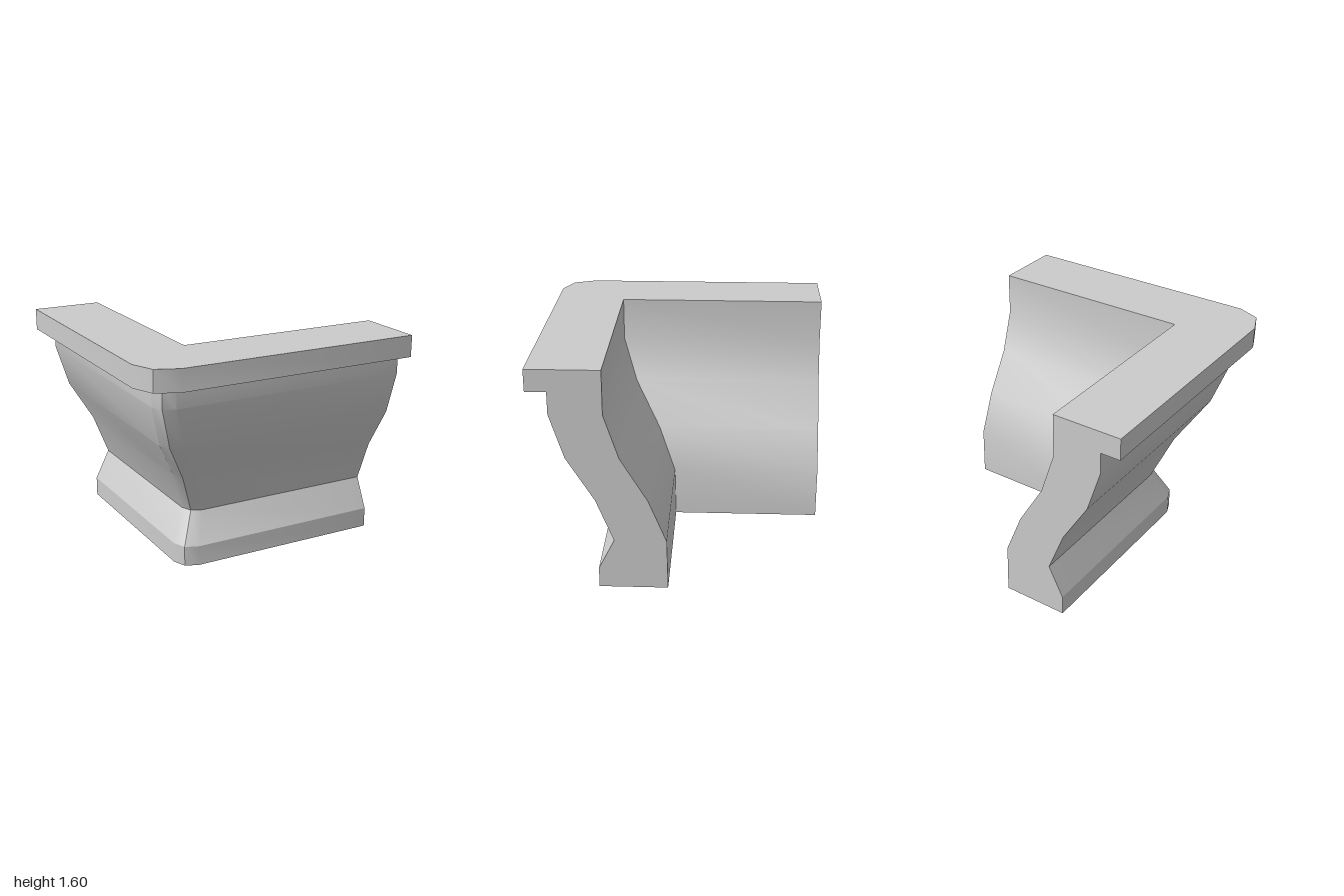
import * as THREE from 'three';
import { toCreasedNormals } from 'three/addons/utils/BufferGeometryUtils.js';

// Moulding section: [distance outward, height, corner rounding radius],
// up the outer face, then down the inner face.
const profile = [
  [0.56, 0, 0.13], [0.56, 0.145, 0.13], [0.45, 0.365, 0.11], [0.57, 0.67, 0.11],
  [0.76, 0.98, 0.12], [0.857, 1.29, 0.12], [0.857, 1.445, 0.12],
  [1, 1.445, 0.23], [1, 1.6, 0.23],
  [0.5, 1.6, 0], [0.5, 1.29, 0], [0.4, 0.98, 0], [0.215, 0.67, 0], [0.092, 0.365, 0], [0.085, 0, 0],
];

// Path of one profile point: along the front arm, round the corner, along the side arm
function sweepPoint([d, y, r]) {
  const k = r * (1 - Math.SQRT1_2);
  return [[1, d], [r - d, d], [k - d, d - k], [-d, d - r], [-d, -1]]
    .map(([x, z]) => new THREE.Vector3(x, y, z));
}

function corniceGeometry() {
  const rows = profile.map(sweepPoint);
  const positions = [];
  const triangle = (a, b, c) => {
    const area = new THREE.Triangle(a, b, c).getArea();
    if (area > 1e-7) positions.push(...a.toArray(), ...b.toArray(), ...c.toArray());
  };

  // Swept faces
  rows.forEach((low, i) => {
    const high = rows[(i + 1) % rows.length];
    for (let s = 0; s < low.length - 1; s++) {
      triangle(low[s], high[s], high[s + 1]);
      triangle(low[s], high[s + 1], low[s + 1]);
    }
  });

  // Cut ends of the two arms
  const outline = profile.map(([d, y]) => new THREE.Vector2(d, y));
  for (const [a, b, c] of THREE.ShapeUtils.triangulateShape(outline, [])) {
    triangle(rows[c][0], rows[b][0], rows[a][0]);
    triangle(rows[a][4], rows[b][4], rows[c][4]);
  }

  const geometry = new THREE.BufferGeometry();
  geometry.setAttribute('position', new THREE.Float32BufferAttribute(positions, 3));
  return toCreasedNormals(geometry, 0.42);
}

export function createModel() {
  const group = new THREE.Group();
  group.name = 'corniceCorner';
  const cornice = new THREE.Mesh(
    corniceGeometry(),
    new THREE.MeshStandardMaterial({ color: 0xcccccc }),
  );
  cornice.name = 'corniceMoulding';
  group.add(cornice);
  return group;
}
